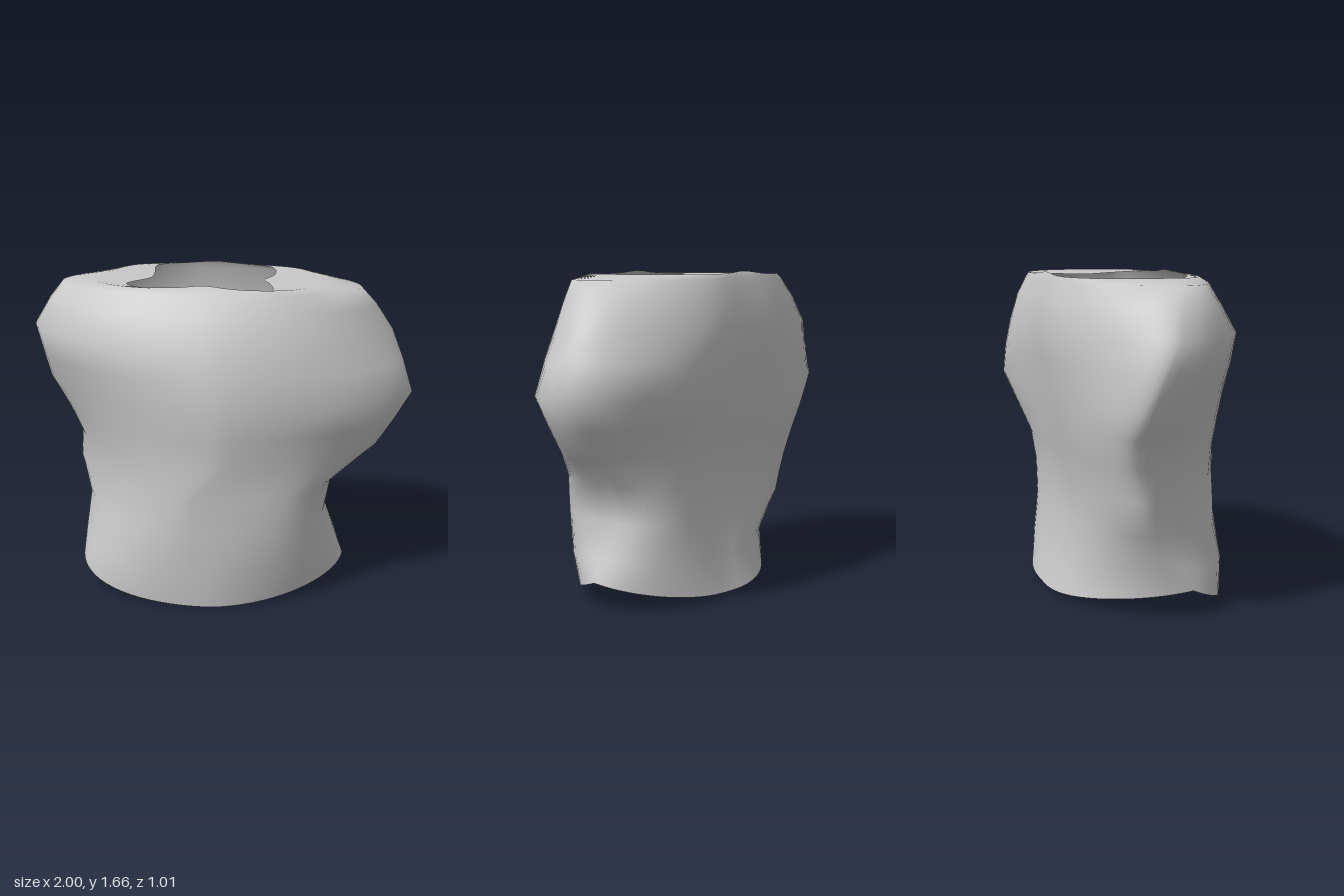
import * as THREE from 'three';

const SEG = 72;

// Cross-sections from hem to shoulder: height, right x, left x, back z, front z,
// depth of the right and left tips, then roundness of the
// front right, front left, back right and back left quarters
const SECTIONS = [
  [0.00, -0.75, 0.67, -0.46, 0.43, 0.06, -0.02, 2.0, 1.6, 1.6, 1.8],
  [0.20, -0.745, 0.63, -0.39, 0.455, -0.03, 0.01, 2.1, 1.9, 1.6, 2.7],
  [0.43, -0.74, 0.56, -0.36, 0.465, -0.15, 0.00, 1.7, 2.6, 2.5, 3.4],
  [0.62, -0.80, 0.60, -0.37, 0.475, -0.20, 0.00, 1.5, 2.3, 2.2, 3.0],
  [0.78, -0.79, 0.83, -0.405, 0.485, -0.22, -0.04, 1.75, 1.5, 3.2, 1.7],
  [0.93, -0.87, 0.92, -0.44, 0.50, -0.25, -0.02, 1.75, 1.5, 2.7, 2.1],
  [1.08, -0.97, 1.00, -0.47, 0.515, -0.27, 0.00, 1.7, 1.5, 2.1, 2.7],
  [1.24, -0.985, 0.95, -0.50, 0.495, -0.21, -0.05, 1.9, 1.6, 1.9, 2.2],
  [1.39, -1.00, 0.89, -0.52, 0.455, -0.15, -0.09, 2.1, 1.7, 1.8, 1.8],
  [1.53, -0.91, 0.80, -0.50, 0.38, -0.10, -0.05, 2.0, 1.8, 1.8, 1.8],
  [1.625, -0.83, 0.72, -0.47, 0.31, -0.05, 0.00, 2.0, 1.9, 1.8, 1.8],
];

// Height added at the sides near the hem
const hemLift = (y) => 0.14 * Math.max(0, 1 - y / 0.35);

// Neck opening radii at equal angles, from the left side round by the front
const NECK = [0.28, 0.345, 0.46, 0.37, 0.33, 0.35, 0.42, 0.445,
  0.31, 0.335, 0.445, 0.38, 0.34, 0.36, 0.425, 0.355];

function sectionRing([y, xR, xL, zB, zF, tipR, tipL, nFR, nFL, nBR, nBL]) {
  const ring = [];
  for (let i = 0; i < SEG; i++) {
    const a = (i / SEG) * Math.PI * 2, c = Math.cos(a), s = Math.sin(a);
    const front = s >= 0, left = c >= 0;
    const n = front ? (left ? nFL : nFR) : (left ? nBL : nBR);
    const across = Math.sign(c) * Math.abs(c) ** (2 / n);
    const depth = Math.abs(s) ** (2 / n);
    const x = (xL + xR) / 2 + across * (xL - xR) / 2;
    const tip = THREE.MathUtils.lerp(tipR, tipL, THREE.MathUtils.smoothstep(across, -0.8, 0.8));
    // spine hollow in the back
    const reach = front ? zF - tip : zB * (1 - 0.07 * Math.exp(-((x / 0.22) ** 2))) - tip;
    // hem rises to a peak at each side
    const rise = front ? (1 - depth) ** 1.2 : 1 - 0.86 * depth ** 1.2;
    ring.push(new THREE.Vector3(x, y + hemLift(y) * rise, tip + reach * depth));
  }
  return ring;
}

function neckRing() {
  const points = NECK.map((r, i) => {
    const a = (i / NECK.length) * Math.PI * 2;
    return new THREE.Vector3(-0.06 + r * Math.cos(a), 1.665 - 0.03 * Math.abs(Math.cos(a)), -0.08 + r * Math.sin(a));
  });
  const curve = new THREE.CatmullRomCurve3(points, true);
  return Array.from({ length: SEG }, (_, i) => curve.getPoint(i / SEG));
}

function loft(rings) {
  const geometry = new THREE.BufferGeometry().setFromPoints(rings.flat());
  const index = [];
  for (let j = 0; j < rings.length - 1; j++) {
    for (let i = 0; i < SEG; i++) {
      const a = j * SEG + i, b = j * SEG + (i + 1) % SEG;
      index.push(a, a + SEG, b, b, a + SEG, b + SEG);
    }
  }
  geometry.setIndex(index);
  geometry.computeVertexNormals();
  return geometry;
}

export function createModel() {
  const group = new THREE.Group();
  group.name = 'torsoGarment';
  const grey = new THREE.MeshStandardMaterial({ color: 0xc8c8c8, side: THREE.DoubleSide });
  grey.name = 'light grey';

  // Open shell: hem, waist, arm bulges, shoulders and neck opening
  const rings = SECTIONS.map(sectionRing);
  const shoulder = rings[rings.length - 1], neck = neckRing();
  const yoke = shoulder.map((p, i) => {
    const q = p.clone().lerp(neck[i], 0.45);
    q.y = 1.65;
    return q;
  });
  const shell = new THREE.Mesh(loft([...rings, yoke, neck]), grey);
  shell.name = 'torsoShell';
  group.add(shell);
  return group;
}
